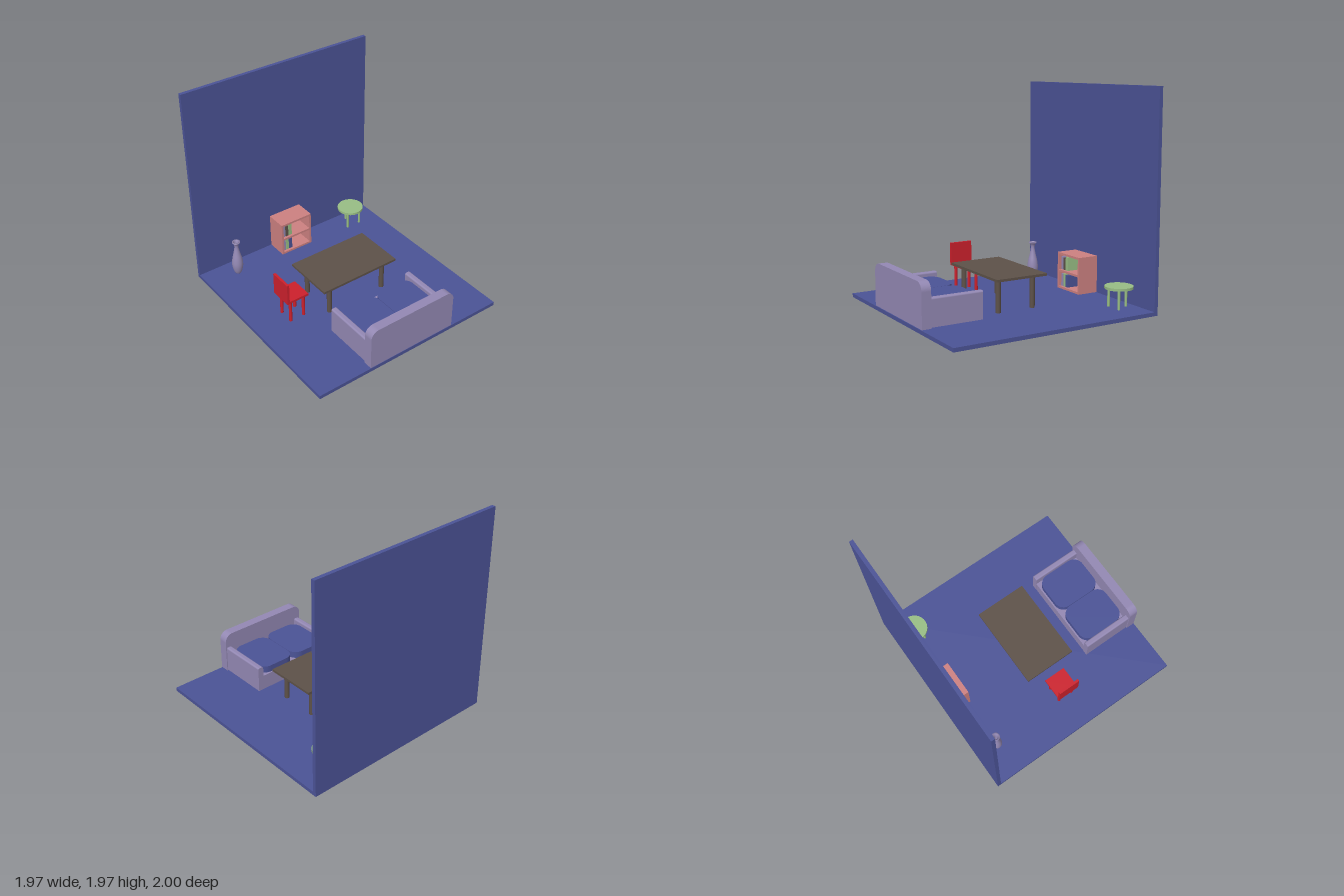
import * as THREE from 'three';

const paint = (name, color) => {
  const m = new THREE.MeshStandardMaterial({ color });
  m.name = name;
  return m;
};

export function createModel() {
  const room = new THREE.Group();
  room.name = 'livingRoom';
  const blue = paint('blue', 0x4b5396), lavender = paint('lavender', 0x9388b3);
  const brown = paint('brown', 0x5d5148), red = paint('red', 0xcc202c);
  const pink = paint('pink', 0xcc8080), green = paint('green', 0x98bd84);
  const FLOOR = 0.035;

  const group = (name) => {
    const g = new THREE.Group();
    g.name = name;
    room.add(g);
    return g;
  };
  const add = (parent, name, geo, mat) => {
    const m = new THREE.Mesh(geo, mat);
    m.name = name;
    parent.add(m);
    return m;
  };
  // Box given by its minimum and maximum on each axis
  const box = (parent, name, mat, x0, x1, y0, y1, z0, z1) =>
    add(parent, name, new THREE.BoxGeometry(x1 - x0, y1 - y0, z1 - z0), mat)
      .position.set((x0 + x1) / 2, (y0 + y1) / 2, (z0 + z1) / 2);
  const cylinder = (parent, name, mat, r, x, z, y0, y1, sides = 20) =>
    add(parent, name, new THREE.CylinderGeometry(r, r, y1 - y0, sides), mat)
      .position.set(x, (y0 + y1) / 2, z);
  // Rectangle with separate corner radii for the lower and upper corners
  const roundedRect = (x0, x1, y0, y1, low, high) => {
    const s = new THREE.Shape();
    s.moveTo(x0 + low, y0);
    s.lineTo(x1 - low, y0);
    if (low) s.absarc(x1 - low, y0 + low, low, -Math.PI / 2, 0);
    s.lineTo(x1, y1 - high);
    s.absarc(x1 - high, y1 - high, high, 0, Math.PI / 2);
    s.lineTo(x0 + high, y1);
    s.absarc(x0 + high, y1 - high, high, Math.PI / 2, Math.PI);
    s.lineTo(x0, y0 + low);
    if (low) s.absarc(x0 + low, y0 + low, low, Math.PI, Math.PI * 1.5);
    return s;
  };
  const extrude = (shape, depth) =>
    new THREE.ExtrudeGeometry(shape, { depth, bevelEnabled: false, curveSegments: 10 });

  // Floor and back wall
  box(room, 'floor', blue, -0.985, 0.985, 0, FLOOR, -1, 1);
  box(room, 'wall', blue, -0.985, 0.985, FLOOR, 1.97, -1, -0.965);

  // Sofa facing the wall
  const sofa = group('sofa');
  add(sofa, 'backrest', extrude(roundedRect(-0.455, 0.455, 0.04, 0.43, 0, 0.08), 0.087), lavender)
    .position.z = 0.913;
  box(sofa, 'seatBase', lavender, -0.39, 0.39, 0.045, 0.19, 0.428, 0.913);
  for (const s of [-1, 1]) {
    const arm = roundedRect(-0.028, 0.028, 0.045, 0.292, 0, 0.015);
    add(sofa, 'armrest', extrude(arm, 0.487), lavender).position.set(s * 0.417, 0, 0.426);
    const cushion = extrude(roundedRect(-0.191, 0.191, -0.232, 0.232, 0.1, 0.1), 0.065);
    cushion.rotateX(-Math.PI / 2);
    add(sofa, 'cushion', cushion, blue).position.set(s * 0.193, 0.19, 0.675);
  }

  // Table
  const table = group('table');
  box(table, 'tableTop', brown, -0.405, 0.405, 0.33, 0.352, -0.24, 0.265);
  for (const x of [-0.3, 0.3])
    for (const z of [-0.155, 0.193]) cylinder(table, 'tableLeg', brown, 0.023, x, z, FLOOR, 0.33);

  // Chair
  const chair = group('chair');
  box(chair, 'seat', red, -0.7, -0.475, 0.258, 0.28, -0.095, 0.118);
  box(chair, 'chairBack', red, -0.7, -0.677, 0.28, 0.473, -0.095, 0.122);
  for (const x of [-0.652, -0.513])
    for (const z of [-0.054, 0.088]) cylinder(chair, 'chairLeg', red, 0.015, x, z, FLOOR, 0.258);

  // Round stool on three legs
  const stool = group('stool');
  cylinder(stool, 'stoolTop', green, 0.128, 0.692, -0.805, 0.207, 0.23, 40);
  for (const [x, z] of [[0.619, -0.75], [0.764, -0.75], [0.692, -0.885]])
    cylinder(stool, 'stoolLeg', green, 0.012, x, z, FLOOR, 0.207);

  // Hollow vase
  const outline = new THREE.SplineCurve([
    [0.03, 0.037], [0.044, 0.075], [0.053, 0.135], [0.047, 0.2], [0.032, 0.265],
    [0.021, 0.32], [0.02, 0.355], [0.028, 0.377], [0.038, 0.385],
  ].map(([r, y]) => new THREE.Vector2(r, y))).getPoints(32);
  const profile = [new THREE.Vector2(0, 0.037), ...outline];
  for (const [r, y] of [[0.038, 0.396], [0.026, 0.396], [0.014, 0.35], [0.015, 0.3], [0, 0.22]])
    profile.push(new THREE.Vector2(r, y));
  add(room, 'vase', new THREE.LatheGeometry(profile, 32), lavender).position.set(-0.665, 0, -0.79);

  // Bookcase against the wall
  const bookcase = group('bookcase');
  const [L, R, B, F] = [-0.175, 0.167, -0.96, -0.754];
  box(bookcase, 'backPanel', pink, L, R, 0.04, 0.385, B, B + 0.015);
  for (const x of [L, R - 0.02]) box(bookcase, 'sidePanel', pink, x, x + 0.02, 0.04, 0.385, B, F);
  for (const y of [0.04, 0.2, 0.365])
    box(bookcase, 'shelf', pink, L + 0.02, R - 0.02, y, y + 0.02, B, F);

  // Books: left edge, thickness, height and colour on each shelf
  const rows = [
    [0.06, [[-0.15, 0.03, 0.12, lavender], [-0.115, 0.03, 0.125, green], [-0.08, 0.035, 0.115, blue]]],
    [0.22, [[-0.15, 0.03, 0.125, lavender], [-0.115, 0.03, 0.115, brown], [-0.08, 0.035, 0.13, green]]],
  ];
  for (const [y, books] of rows)
    for (const [x, w, h, mat] of books)
      box(bookcase, 'book', mat, x, x + w, y, y + h, B + 0.02, F - 0.025);

  return room;
}
